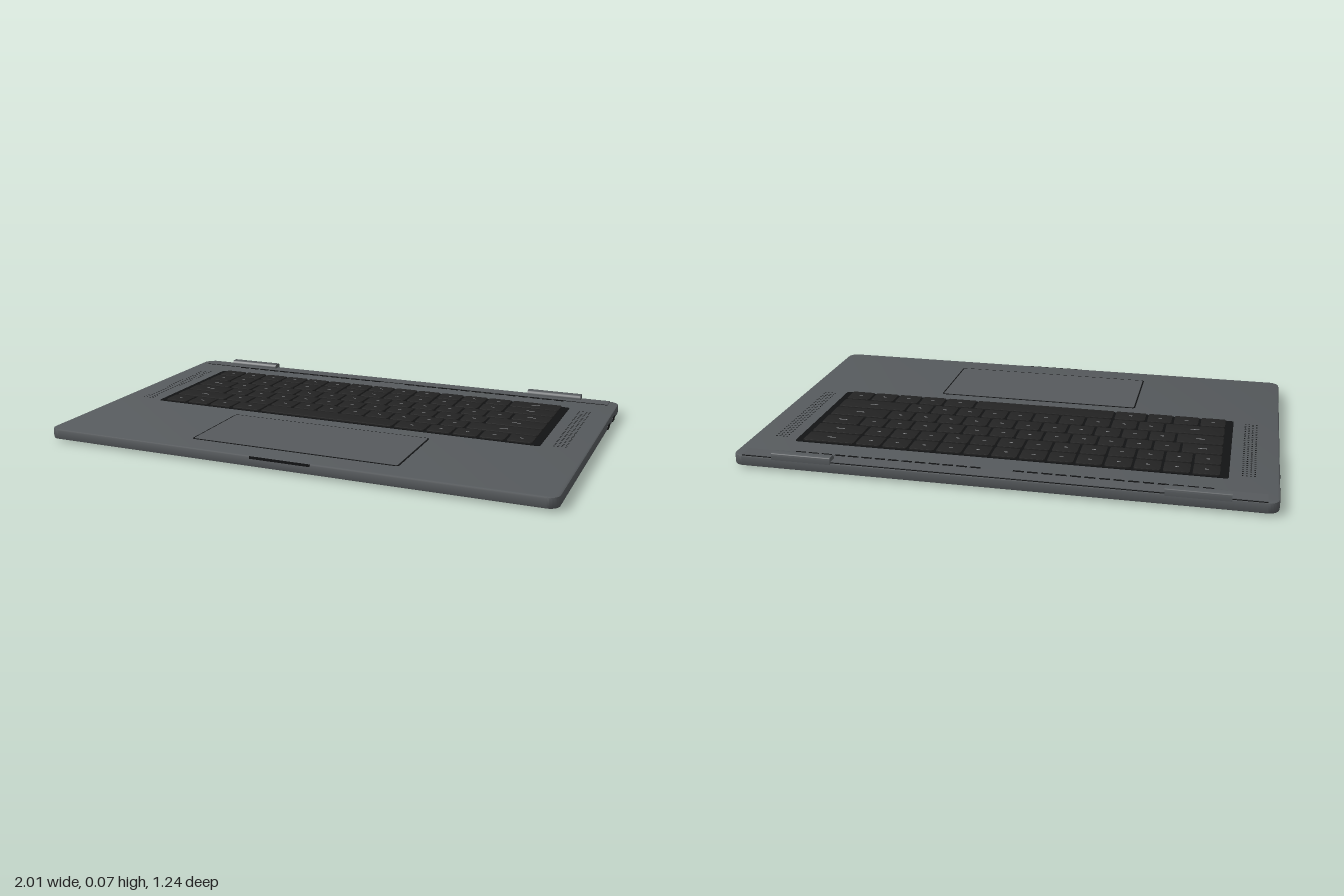
import * as THREE from 'three';
import { mergeGeometries, toCreasedNormals } from 'three/addons/utils/BufferGeometryUtils.js';

const paint = (name, color) => {
  const m = new THREE.MeshStandardMaterial({ color });
  m.name = name;
  return m;
};

function roundedRect(w, d, r, Type = THREE.Shape) {
  const s = new Type(), x = w / 2, y = d / 2;
  s.moveTo(-x + r, -y);
  s.lineTo(x - r, -y);
  s.absarc(x - r, -y + r, r, -Math.PI / 2, 0);
  s.lineTo(x, y - r);
  s.absarc(x - r, y - r, r, 0, Math.PI / 2);
  s.lineTo(-x + r, y);
  s.absarc(-x + r, y - r, r, Math.PI / 2, Math.PI);
  s.lineTo(-x, -y + r);
  s.absarc(-x + r, -y + r, r, Math.PI, Math.PI * 1.5);
  return s;
}

// Horizontal rounded slab whose underside sits at y = 0
function slab(w, h, d, r, bevel = 0, segs = 6, hole = null) {
  const shape = roundedRect(w - 2 * bevel, d - 2 * bevel, r);
  if (hole) shape.holes.push(hole);
  const g = new THREE.ExtrudeGeometry(shape, {
    depth: h - 2 * bevel, curveSegments: segs, bevelEnabled: bevel > 0,
    bevelSize: bevel, bevelThickness: bevel, bevelSegments: 2,
  });
  g.rotateX(-Math.PI / 2).translate(0, bevel, 0);
  return toCreasedNormals(g, 0.6);
}

export function createModel() {
  const model = new THREE.Group();
  model.name = 'laptopBase';
  const metal = paint('grey metal', 0x565a5d);
  const under = paint('dark underside', 0x303133);
  const black = paint('black', 0x121314);
  const keyMat = paint('key black', 0x232323);
  const legendMat = paint('key mark grey', 0x8a8c8e);

  const add = (name, geo, mat, x = 0, y = 0, z = 0, parent = model) => {
    const m = new THREE.Mesh(geo, mat);
    m.name = name;
    m.position.set(x, y, z);
    parent.add(m);
    return m;
  };
  const TOP = 0.051;

  // Chassis and bottom cover
  add('chassis', slab(2, TOP - 0.01, 1.24, 0.034, 0.006), metal, 0, 0.01, 0);
  add('bottomCover', slab(1.97, 0.006, 1.21, 0.03), under, 0, 0.007, 0);

  // Keyboard tray
  const kz = -0.171, unit = 0.106, pitch = 0.0927;
  add('keyboardTray', slab(1.643, 0.003, 0.556, 0.01), black, 0, TOP - 0.001, kz);

  // Keys, by width in units per row
  const ones = (n) => Array(n).fill(1);
  const rows = [
    [...ones(13), 2],
    [...ones(13), 2],
    [1.5, ...ones(12), 1.5],
    [1.75, ...ones(11), 2.25],
    [2.25, ...ones(10), 2.75],
    [1, 1, 1, 1.25, 5.5, 1.25, ...ones(4)],
  ];
  const keys = new THREE.Group();
  keys.name = 'keys';
  model.add(keys);
  const marks = [];
  rows.forEach((row, r) => {
    let u = -7.5;
    const z = kz + (r - 2.5) * pitch;
    row.forEach((w) => {
      const x = (u + w / 2) * unit;
      add('key', slab(w * unit - 0.009, 0.008, pitch - 0.011, 0.006, 0.002, 2), keyMat, x, TOP + 0.001, z, keys);
      if (w < 5) {
        const mark = new THREE.BoxGeometry(w > 1.3 ? 0.034 : 0.014, 0.0008, 0.005);
        marks.push(mark.translate(x, TOP + 0.0092, z));
      }
      u += w;
    });
  });
  add('keyMarks', mergeGeometries(marks), legendMat);

  // Trackpad with a dark gap around it
  const gap = slab(0.832, 0.0015, 0.35, 0.012, 0, 5, roundedRect(0.82, 0.338, 0.008, THREE.Path));
  add('trackpadGap', gap, black, 0, TOP - 0.0005, 0.347);
  add('trackpad', slab(0.82, 0.003, 0.338, 0.008), metal, 0, TOP - 0.001, 0.347);

  // Speaker grilles
  for (const side of [-1, 1]) {
    const dots = [];
    for (let i = 0; i < 4; i++) {
      for (let j = 0; j < 28; j++) {
        const dot = new THREE.CircleGeometry(0.0038, 8).rotateX(-Math.PI / 2);
        dots.push(dot.translate(side * 0.891 + (i - 1.5) * 0.0145, TOP + 0.0008, -0.413 + j * 0.0184));
      }
    }
    add(side > 0 ? 'leftSpeakerHoles' : 'rightSpeakerHoles', mergeGeometries(dots), black);
  }

  // Rear strip with its seams and vent slots
  add('rearStrip', new THREE.BoxGeometry(1.92, 0.004, 0.058), metal, 0, TOP + 0.001, -0.584);
  for (const z of [-0.6145, -0.5535]) {
    add('rearSeam', new THREE.BoxGeometry(1.92, 0.002, 0.004), black, 0, TOP, z);
  }
  const vents = [];
  for (const side of [-1, 1]) {
    for (let i = 0; i < 14; i++) {
      vents.push(new THREE.BoxGeometry(0.039, 0.003, 0.01).translate(side * (0.08 + i * 0.052), TOP + 0.001, -0.547));
    }
  }
  add('ventSlots', mergeGeometries(vents), black);

  // Hinge blocks with a rounded top
  const profile = new THREE.Shape();
  profile.moveTo(0.58, 0.045);
  profile.lineTo(0.622, 0.045);
  profile.lineTo(0.622, 0.062);
  profile.quadraticCurveTo(0.622, 0.072, 0.612, 0.072);
  profile.lineTo(0.593, 0.072);
  profile.quadraticCurveTo(0.583, 0.072, 0.58, 0.06);
  const hingeGeo = toCreasedNormals(new THREE.ExtrudeGeometry(profile, {
    depth: 0.23, bevelEnabled: false, curveSegments: 6,
  }).translate(0, 0, -0.115).rotateY(Math.PI / 2), 0.6);

  for (const side of [-1, 1]) {
    const label = side > 0 ? 'left' : 'right';
    add(label + 'Hinge', hingeGeo, metal, side * 0.725, 0, 0);

    // Side ports
    for (const z of [-0.34, -0.463]) {
      const port = slab(0.018, 0.006, 0.047, 0.006, 0, 4).rotateZ(Math.PI / 2).translate(0.003, 0, 0);
      add(label + 'Port', port, black, side * 0.9995, 0.022, z);
    }

    // Feet and corner screws
    for (const end of [-1, 1]) {
      add(label + 'Foot', slab(0.17, 0.009, 0.042, 0.02), black, side * 0.765, 0, end * 0.482);
      const screw = new THREE.CylinderGeometry(0.007, 0.007, 0.002, 12);
      add(label + 'Screw', screw, black, side * 0.93, 0.0065, end * 0.55);
    }
  }
  model.traverse((o) => {
    if (o.name.endsWith('Port')) o.position.y = 0.022;
  });

  // Opening notch on the front edge
  add('frontNotch', new THREE.BoxGeometry(0.24, 0.009, 0.006), black, 0, 0.045, 0.6185);
  return model;
}
